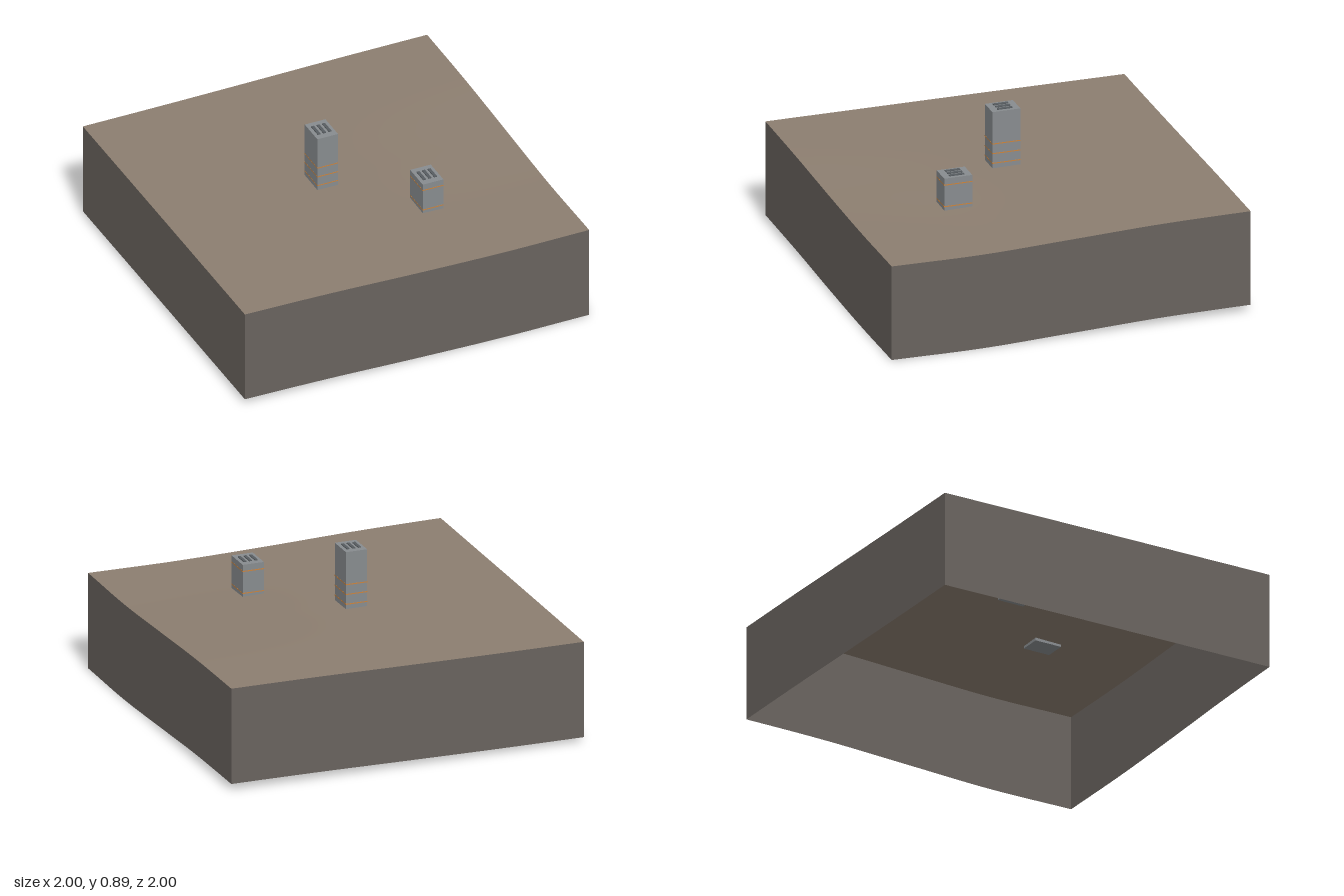
import * as THREE from 'three';

const mat = (name, color, side = THREE.FrontSide) => {
  const m = new THREE.MeshStandardMaterial({ color, side });
  m.name = name;
  return m;
};

// Ground heights on a coarse grid: rows from back to front, columns from x = -1 to x = 1
const HEIGHTS = [
  [0.56, 0.562, 0.567, 0.573, 0.575],
  [0.563, 0.564, 0.567, 0.57, 0.571],
  [0.566, 0.566, 0.562, 0.557, 0.553],
  [0.568, 0.566, 0.555, 0.542, 0.536],
  [0.57, 0.563, 0.548, 0.538, 0.54],
];
const WALL_DEPTH = 0.534;

// Smooth curve through five evenly spaced values, t from -1 to 1
function spline(v, t) {
  const u = THREE.MathUtils.clamp((t + 1) * 2, 0, 4);
  const i = Math.min(3, Math.floor(u)), f = u - i;
  const at = (k) => v[THREE.MathUtils.clamp(k, 0, 4)];
  const a = (at(i + 1) - at(i - 1)) / 2, b = (at(i + 2) - at(i)) / 2;
  const d = at(i + 1) - at(i);
  return at(i) + f * (a + f * (3 * d - 2 * a - b + f * (a + b - 2 * d)));
}
const groundHeight = (x, z) => spline(HEIGHTS.map((row) => spline(row, x)), z);

// Rolling ground surface
function makeGround(material) {
  const g = new THREE.PlaneGeometry(2, 2, 40, 40).rotateX(-Math.PI / 2);
  const p = g.attributes.position;
  for (let i = 0; i < p.count; i++) p.setY(i, groundHeight(p.getX(i), p.getZ(i)));
  g.computeVertexNormals();
  const mesh = new THREE.Mesh(g, material);
  mesh.name = 'ground';
  return mesh;
}

// One side wall that follows the ground's edge at top and bottom
function makeWall(name, angle, material) {
  const g = new THREE.PlaneGeometry(2, 1, 40, 1).translate(0, 0, 1).rotateY(angle);
  const p = g.attributes.position;
  for (let i = 0; i < p.count; i++) {
    const top = groundHeight(p.getX(i), p.getZ(i));
    p.setY(i, p.getY(i) > 0 ? top : top - WALL_DEPTH);
  }
  const mesh = new THREE.Mesh(g, material);
  mesh.name = name;
  return mesh;
}

// Concrete tower with thin bands round it and three vents on the roof
function makeTower(name, x, z, bottom, top, bands, mats) {
  const tower = new THREE.Group();
  tower.name = name;
  const W = 0.12, D = 0.156;
  const box = (part, w, h, d, px, py, material) => {
    const mesh = new THREE.Mesh(new THREE.BoxGeometry(w, h, d), material);
    mesh.name = part;
    mesh.position.set(px, py, 0);
    tower.add(mesh);
  };
  box('towerBody', W, top - bottom, D, 0, (top + bottom) / 2, mats.concrete);
  for (const y of bands) box('towerBand', W + 0.001, 0.006, D + 0.001, 0, y, mats.orange);
  for (const i of [-1, 0, 1]) box('roofVent', 0.016, 0.006, 0.082, i * 0.032, top + 0.002, mats.vent);
  tower.position.set(x, 0, z);
  return tower;
}

export function createModel() {
  const model = new THREE.Group();
  model.name = 'terrainTile';
  const earth = mat('earth', 0x8c7e70, THREE.DoubleSide);
  const cutEarth = mat('cutEarth', 0x69635e, THREE.DoubleSide);
  const mats = {
    concrete: mat('concrete', 0x888c8f),
    orange: mat('orangeBand', 0xc9843f),
    vent: mat('darkVent', 0x585d61),
  };

  model.add(makeGround(earth));
  ['frontWall', 'leftWall', 'backWall', 'rightWall'].forEach((name, i) =>
    model.add(makeWall(name, (i * Math.PI) / 2, cutEarth)));

  model.add(makeTower('tallTower', -0.085, 0, 0.55, 0.882, [0.59, 0.645, 0.7], mats));
  model.add(makeTower('shortTower', 0.332, 0.415, 0.535, 0.727, [0.567, 0.69], mats));
  return model;
}
